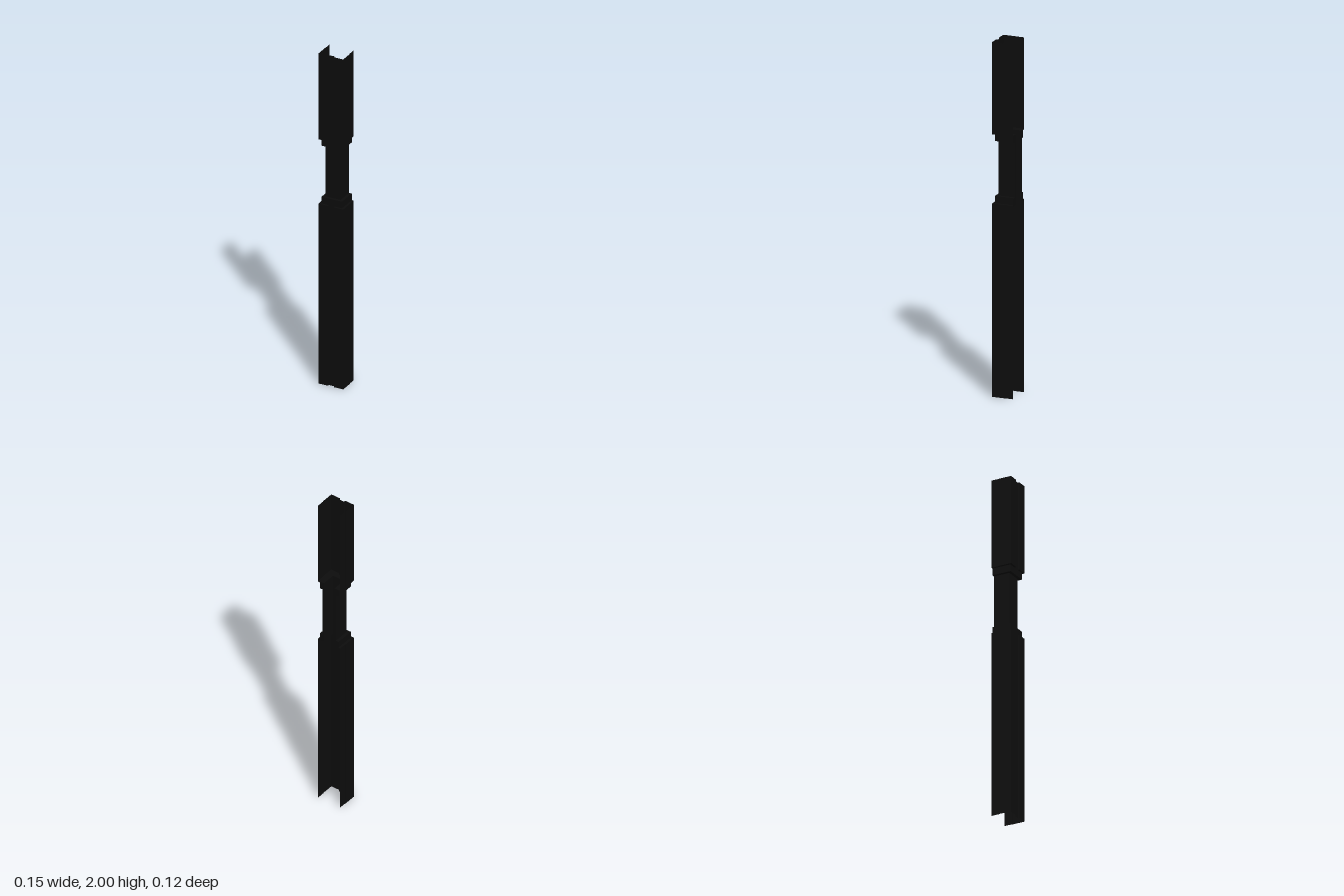
import * as THREE from 'three';

const material = new THREE.MeshStandardMaterial({ color: 0x0d0d0d, flatShading: true, side: THREE.DoubleSide });
const BACK = -0.062;

// Outlines of the +x half, as [x, z] from the back edge to the front centre
const SHELL = [[0.074, BACK], [0.074, -0.015], [0.076, -0.015], [0.076, 0.06], [0.018, 0.06], [0.018, 0.05]];
const COLLAR = [[0.063, BACK], [0.063, 0.05]];
const GRIP = [[0.046, BACK], [0.046, 0.034]];
const INNER = [[0.037, BACK], [0.037, 0.022]];

// Full open outline, +x back edge round the front to the -x back edge
const mirrored = (half) => [...half, ...[...half].reverse().map(([x, z]) => [-x, z])];

// Thin wall following an open outline between two heights
function sheet(name, half, y0, y1) {
  const pos = [];
  const pts = mirrored(half);
  for (let i = 0; i < pts.length - 1; i++) {
    const [ax, az] = pts[i];
    const [bx, bz] = pts[i + 1];
    pos.push(bx, y0, bz, ax, y0, az, ax, y1, az, bx, y0, bz, ax, y1, az, bx, y1, bz);
  }
  const geo = new THREE.BufferGeometry();
  geo.setAttribute('position', new THREE.Float32BufferAttribute(pos, 3));
  geo.computeVertexNormals();
  const mesh = new THREE.Mesh(geo, material);
  mesh.name = name;
  return mesh;
}

// Solid U-shaped channel between an outer outline and the inner one
function channel(name, half, y0, y1) {
  const loop = [...mirrored(half), ...mirrored(INNER).reverse()];
  const shape = new THREE.Shape(loop.map(([x, z]) => new THREE.Vector2(x, -z)));
  const geo = new THREE.ExtrudeGeometry(shape, { depth: y1 - y0, bevelEnabled: false });
  geo.rotateX(-Math.PI / 2).translate(0, y0, 0);
  const mesh = new THREE.Mesh(geo, material);
  mesh.name = name;
  return mesh;
}

export function createModel() {
  const group = new THREE.Group();
  group.name = 'channelPost';
  group.add(
    // Long lower and short upper thin-walled shells, open at the back and ends
    sheet('lowerShell', SHELL, 0, 1.09),
    sheet('upperShell', SHELL, 1.48, 2),
    // Ledges closing the shells where the post narrows
    channel('lowerLedge', SHELL, 1.085, 1.09),
    channel('upperLedge', SHELL, 1.48, 1.485),
    // Stepped collars and the narrow middle
    channel('lowerCollar', COLLAR, 1.09, 1.13),
    channel('upperCollar', COLLAR, 1.44, 1.48),
    channel('narrowMiddle', GRIP, 1.13, 1.44),
  );
  return group;
}
